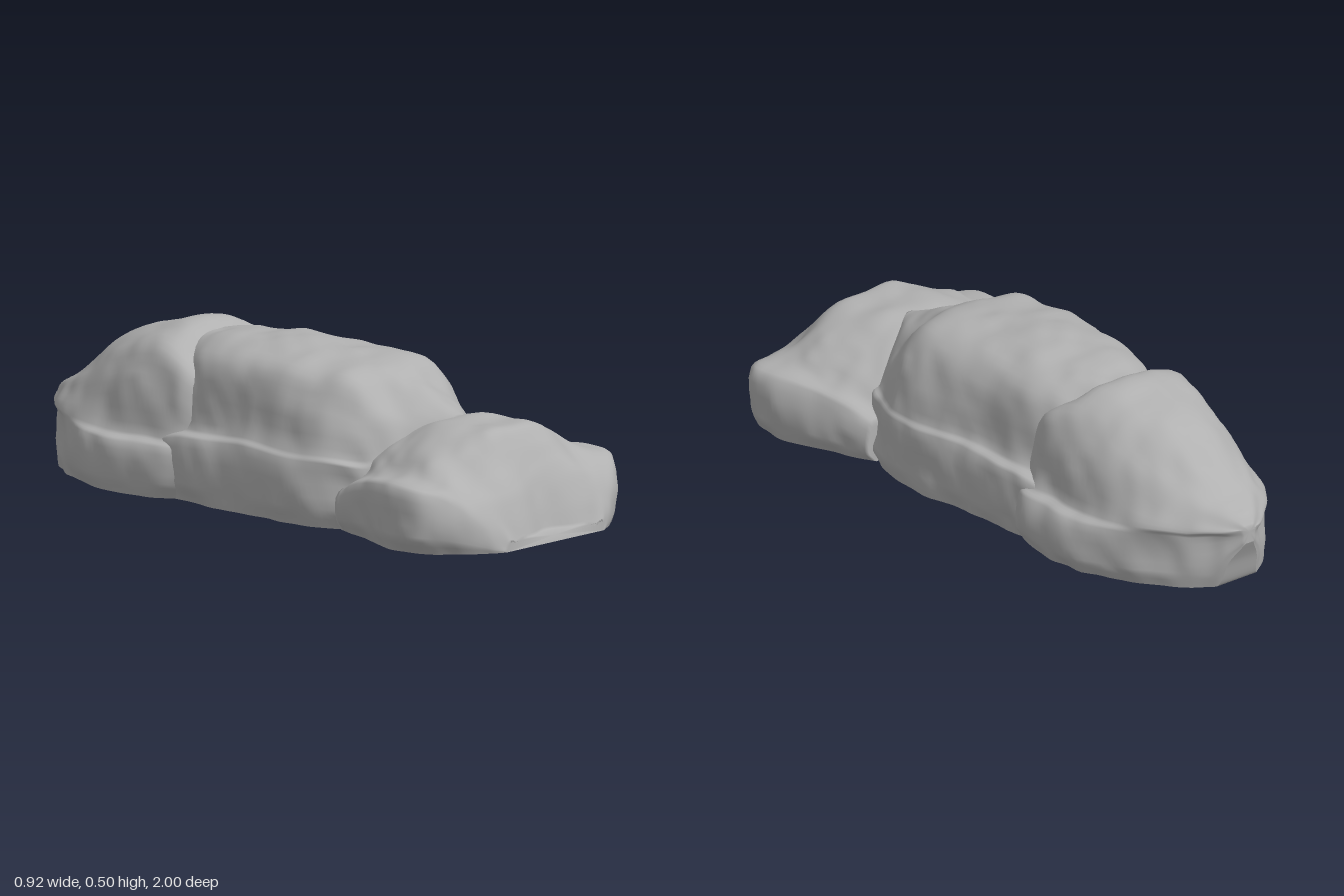
import * as THREE from 'three';

const ROWS = 60, COLS = 56;

// Repeatable smooth noise in -1..1
const hash = (x, y, z) => {
  const s = Math.sin(x * 127.1 + y * 311.7 + z * 74.7) * 43758.5453;
  return (s - Math.floor(s)) * 2 - 1;
};
const mix = THREE.MathUtils.lerp;
function noise(x, y, z) {
  const [i, j, k] = [x, y, z].map(Math.floor);
  const [u, v, w] = [x - i, y - j, z - k].map((t) => t * t * (3 - 2 * t));
  const edge = (b, c) => mix(hash(i, j + b, k + c), hash(i + 1, j + b, k + c), u);
  return mix(mix(edge(0, 0), edge(1, 0), v), mix(edge(0, 1), edge(1, 1), v), w);
}

// Full outline of one slice, from the +x foot over the top to the -x foot
function outline([z, base, foot, belly, ledgeY, ledgeW, shoulderW, shoulderY, top]) {
  const half = [
    [foot, base],
    [belly, mix(base, ledgeY, 0.3)],
    [belly * 0.97, ledgeY],
    [ledgeW, ledgeY + 0.02],
    [mix(ledgeW, shoulderW, 0.45), mix(ledgeY, shoulderY, 0.62)],
    [shoulderW, shoulderY],
    [shoulderW * 0.5, mix(shoulderY, top, 0.85)],
  ];
  const other = half.map(([x, y]) => [-x, y]).reverse();
  return [...half, [0, top], ...other].map(([x, y]) => new THREE.Vector3(x, y, z));
}

// Pushes points near a mirrored pair of spots by a given offset
function dent(p, [cx, cy, cz], radius, [dx, dy, dz]) {
  const d2 = (Math.abs(p.x) - cx) ** 2 + (p.y - cy) ** 2 + (p.z - cz) ** 2;
  const f = Math.exp(-d2 / radius ** 2);
  p.x += Math.sign(p.x) * dx * f;
  p.y += dy * f;
  p.z += dz * f;
}

// Boulder lofted through slices running from front to back, with a flat base
function boulder(name, slices, material, warp) {
  const outlines = slices.map(outline);
  const rails = outlines[0].map((_, i) =>
    new THREE.CatmullRomCurve3(outlines.map((o) => o[i])).getPoints(ROWS));
  const grid = [];
  for (let r = 0; r <= ROWS; r++) {
    const rib = new THREE.CatmullRomCurve3(rails.map((rail) => rail[r])).getPoints(COLS);
    rib.forEach((p, c) => {
      const { x, y, z } = p;
      const n = 0.012 * noise(x * 10 + 5, y * 12, z * 9) + 0.009 * noise(x * 19, y * 21 + 7, z * 17);
      const reach = Math.hypot(x, y) + 0.05;
      p.x += (x / reach) * n;
      p.y += (y / reach) * n * 0.6;
      warp(p);
      p.y = Math.max(0, c > 0 && c < COLS ? p.y : y);
    });
    grid.push(rib);
  }
  const points = grid.flat();
  const index = [];
  const at = (r, c) => r * (COLS + 1) + c;
  for (let r = 0; r < ROWS; r++) {
    for (let c = 0; c < COLS; c++) {
      const a = at(r, c), b = at(r, c + 1), d = at(r + 1, c), e = at(r + 1, c + 1);
      index.push(a, d, b, b, d, e);
    }
  }
  // Flat underside
  const start = points.length;
  grid.forEach((rib) => points.push(rib[0].clone(), rib[COLS].clone()));
  for (let r = 0; r < ROWS; r++) {
    const a = start + r * 2;
    index.push(a, a + 1, a + 2, a + 1, a + 3, a + 2);
  }
  // End caps
  [0, ROWS].forEach((r) => {
    const centre = new THREE.Vector3();
    grid[r].forEach((p) => centre.addScaledVector(p, 1 / (COLS + 1)));
    const m = points.push(centre) - 1;
    for (let c = 0; c <= COLS; c++) {
      const a = at(r, c), b = at(r, (c + 1) % (COLS + 1));
      index.push(...(r === 0 ? [m, a, b] : [m, b, a]));
    }
  });
  const geometry = new THREE.BufferGeometry().setFromPoints(points);
  geometry.setIndex(index);
  geometry.computeVertexNormals();
  const mesh = new THREE.Mesh(geometry, material);
  mesh.name = name;
  return mesh;
}

export function createModel() {
  const stone = new THREE.MeshStandardMaterial({ color: 0xb0b0b0 });
  stone.name = 'grey stone';
  const group = new THREE.Group();
  group.name = 'rockFormation';

  // Slice: z, base y, foot, belly, ledge y, ledge width, shoulder width, shoulder y, top y
  const front = [
    [1.0, 0, 0.22, 0.222, 0.008, 0.21, 0.14, 0.03, 0.03],
    [0.975, 0, 0.27, 0.28, 0.06, 0.24, 0.16, 0.1, 0.1],
    [0.93, 0, 0.335, 0.355, 0.13, 0.29, 0.17, 0.19, 0.19],
    [0.87, 0, 0.395, 0.415, 0.175, 0.34, 0.19, 0.26, 0.28],
    [0.82, 0, 0.42, 0.445, 0.185, 0.36, 0.21, 0.29, 0.325],
    [0.72, 0, 0.43, 0.45, 0.195, 0.36, 0.23, 0.29, 0.33],
    [0.6, 0, 0.39, 0.41, 0.19, 0.34, 0.2, 0.29, 0.335],
    [0.5, 0, 0.35, 0.37, 0.165, 0.3, 0.2, 0.25, 0.3],
    [0.4, 0, 0.31, 0.33, 0.12, 0.26, 0.18, 0.2, 0.22],
  ];
  const middle = [
    [0.61, 0.06, 0.04, 0.05, 0.2, 0.05, 0.035, 0.32, 0.335],
    [0.53, 0, 0.15, 0.18, 0.2, 0.17, 0.09, 0.34, 0.365],
    [0.44, 0, 0.27, 0.3, 0.19, 0.25, 0.15, 0.37, 0.41],
    [0.33, 0, 0.33, 0.345, 0.2, 0.315, 0.2, 0.43, 0.462],
    [0.2, 0, 0.34, 0.355, 0.2, 0.325, 0.22, 0.435, 0.473],
    [0, 0, 0.325, 0.335, 0.21, 0.3, 0.215, 0.44, 0.493],
    [-0.18, 0, 0.31, 0.325, 0.2, 0.275, 0.21, 0.435, 0.487],
    [-0.3, 0, 0.3, 0.31, 0.19, 0.25, 0.18, 0.42, 0.483],
    [-0.42, 0, 0.27, 0.28, 0.15, 0.2, 0.14, 0.36, 0.465],
  ];
  const back = [
    [-0.24, 0, 0.27, 0.29, 0.15, 0.26, 0.19, 0.33, 0.34],
    [-0.31, 0, 0.315, 0.335, 0.16, 0.285, 0.225, 0.4, 0.4],
    [-0.41, 0, 0.335, 0.35, 0.16, 0.3, 0.21, 0.435, 0.49],
    [-0.55, 0, 0.325, 0.345, 0.16, 0.29, 0.19, 0.42, 0.47],
    [-0.69, 0, 0.275, 0.295, 0.165, 0.265, 0.16, 0.36, 0.425],
    [-0.8, 0, 0.215, 0.23, 0.17, 0.225, 0.13, 0.3, 0.345],
    [-0.89, 0, 0.14, 0.155, 0.17, 0.16, 0.1, 0.255, 0.275],
    [-0.935, 0, 0.08, 0.095, 0.17, 0.115, 0.07, 0.24, 0.255],
    [-0.97, 0.09, 0.05, 0.06, 0.17, 0.075, 0.045, 0.225, 0.235],
    [-1, 0.15, 0.015, 0.02, 0.175, 0.025, 0.015, 0.2, 0.2],
  ];

  // Notch and hollows in the front face
  const shapeFront = (p) => {
    if (p.z > 0.8) p.z -= 0.2 * (p.z - 0.8) * Math.exp(-((p.x / 0.08) ** 2));
    dent(p, [0.24, 0.24, 0.85], 0.08, [0, -0.025, -0.02]);
    dent(p, [0.31, 0.26, 0.6], 0.09, [0, -0.015, 0]);
  };
  // Hollows along the flanks, above and below the ledge
  const shapeMiddle = (p) => {
    dent(p, [0.33, 0.13, 0.4], 0.07, [-0.03, 0, 0]);
    dent(p, [0.3, 0.24, -0.05], 0.1, [-0.012, -0.005, 0]);
    dent(p, [0.12, 0.39, 0.46], 0.08, [0, -0.015, -0.015]);
  };
  // Undercut below the tail and a hollow beside the joint
  const shapeBack = (p) => {
    dent(p, [0.3, 0.18, -0.42], 0.06, [-0.02, 0, 0]);
    dent(p, [0.2, 0.11, -0.84], 0.07, [-0.015, 0, 0]);
  };
  group.add(
    boulder('frontBoulder', front, stone, shapeFront),
    boulder('middleBoulder', middle, stone, shapeMiddle),
    boulder('backBoulder', back, stone, shapeBack),
  );
  return group;
}
